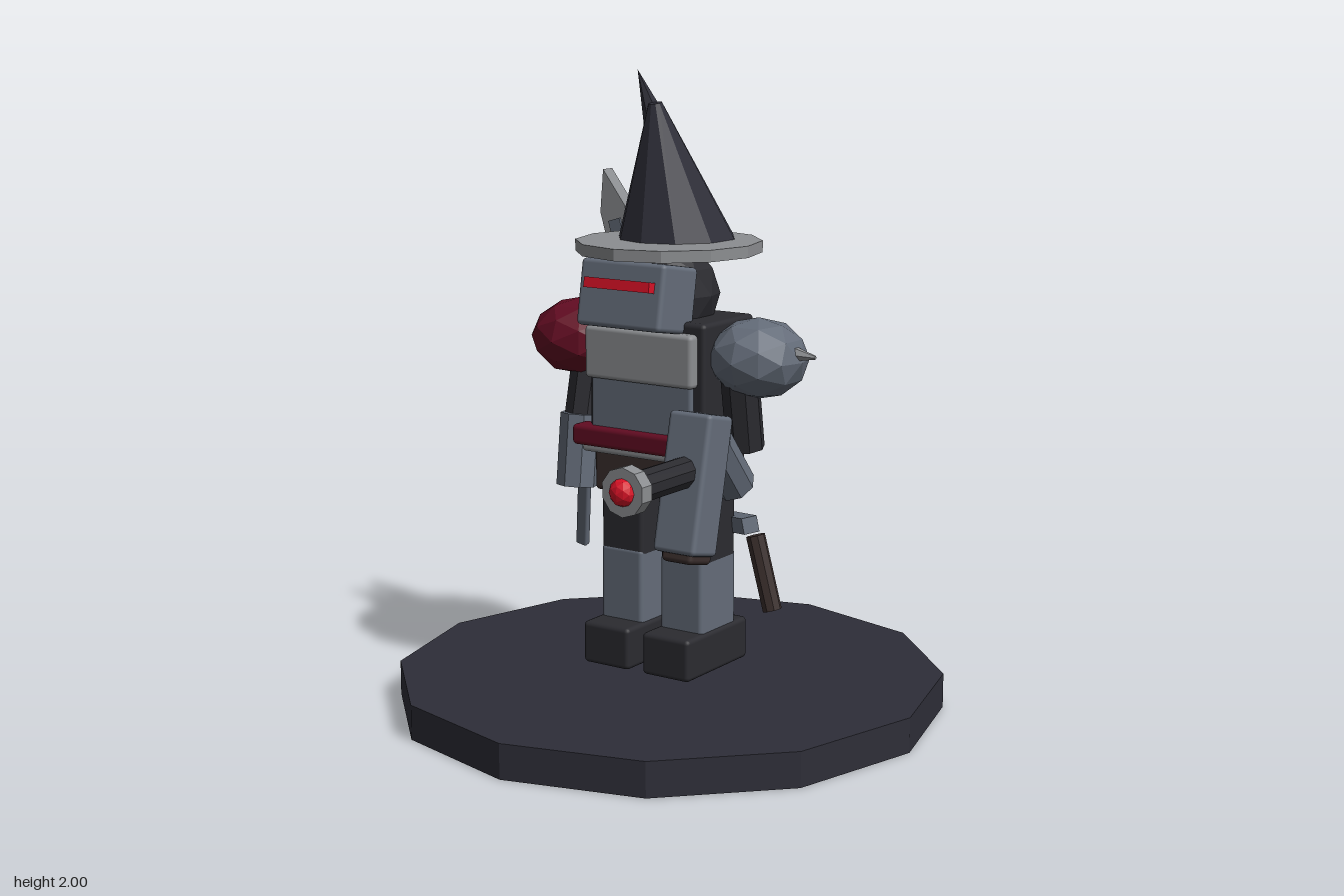
import * as THREE from 'three';
import { RoundedBoxGeometry } from 'three/addons/geometries/RoundedBoxGeometry.js';

const material = (name, color) => {
  const m = new THREE.MeshStandardMaterial({ color });
  m.name = name;
  return m;
};

// Gives every face its own flat normal
const facet = (geometry) => {
  const g = geometry.index ? geometry.toNonIndexed() : geometry;
  g.computeVertexNormals();
  return g;
};

export function createModel() {
  const model = new THREE.Group();
  model.name = 'armouredFigure';

  const slate = material('slate', 0x2e2e38);
  const black = material('blackCloth', 0x2b2b30);
  const steel = material('steel', 0x646c79);
  const silver = material('silver', 0x8c8e91);
  const crimson = material('crimson', 0x620c22);
  const glow = material('glowRed', 0xd81226);
  const brown = material('leather', 0x3a2e2c);

  const add = (name, geometry, mat, pos = [0, 0, 0], rot = [0, 0, 0]) => {
    const mesh = new THREE.Mesh(geometry, mat);
    mesh.name = name;
    mesh.position.set(...pos);
    mesh.rotation.set(...rot);
    model.add(mesh);
    return mesh;
  };
  const box = (name, mat, size, pos, rot) =>
    add(name, new RoundedBoxGeometry(...size, 2, Math.min(0.015, Math.min(...size) * 0.25)), mat, pos, rot);
  const ball = (name, mat, radii, pos) =>
    add(name, facet(new THREE.IcosahedronGeometry(1, 1).scale(...radii)), mat, pos);
  // Tapered cylinder between two points
  const rod = (name, mat, from, to, r0, r1 = r0, sides = 8) => {
    const a = new THREE.Vector3(...from), b = new THREE.Vector3(...to);
    const dir = b.clone().sub(a);
    const geo = facet(new THREE.CylinderGeometry(r1, r0, dir.length(), sides));
    const mesh = add(name, geo, mat, a.clone().add(b).multiplyScalar(0.5).toArray());
    mesh.quaternion.setFromUnitVectors(new THREE.Vector3(0, 1, 0), dir.normalize());
    return mesh;
  };

  // Display base
  rod('base', slate, [0, 0, 0], [0, 0.11, 0], 0.87, 0.87, 12);

  // Legs
  for (const [side, x] of [['right', -0.118], ['left', 0.108]]) {
    box(side + 'Boot', black, [0.175, 0.135, 0.34], [x, 0.2075, 0.015]);
    box(side + 'Shin', steel, [0.158, 0.26, 0.195], [x, 0.38, 0]);
    box(side + 'Thigh', black, [0.158, 0.24, 0.19], [x, 0.6, 0]);
  }

  // Torso
  box('hips', brown, [0.4, 0.15, 0.26], [-0.005, 0.765, -0.01]);
  box('belt', silver, [0.46, 0.09, 0.29], [-0.005, 0.86, 0.005]);
  box('sash', crimson, [0.49, 0.065, 0.08], [-0.005, 0.873, 0.14]);
  box('torso', black, [0.43, 0.38, 0.28], [0.008, 1.065, 0]);
  box('abdomenPlate', steel, [0.375, 0.19, 0.05], [-0.003, 0.98, 0.13]);
  box('chestPlate', silver, [0.4, 0.165, 0.06], [-0.002, 1.14, 0.145]);

  // Head, face plate and eye slit
  ball('head', black, [0.16, 0.16, 0.16], [-0.003, 1.32, 0]);
  box('faceMask', steel, [0.31, 0.205, 0.185], [-0.007, 1.327, 0.165], [-0.17, 0, 0]);
  add('eyeSlit', new THREE.BoxGeometry(0.24, 0.032, 0.03), glow, [-0.002, 1.373, 0.266], [-0.17, 0, 0]);

  // Pointed hat
  rod('hatBrim', silver, [-0.003, 1.447, 0], [-0.003, 1.483, 0], 0.29, 0.29, 12);
  rod('hatCone', slate, [-0.02, 1.457, -0.06], [-0.05, 1.9, 0.005], 0.195, 0.022, 10);
  rod('hatTip', slate, [-0.06, 1.79, -0.042], [-0.115, 2, 0.005], 0.05, 0, 6);

  // Shoulder armour
  ball('rightShoulder', crimson, [0.165, 0.125, 0.17], [-0.34, 1.152, -0.01]);
  ball('leftShoulder', steel, [0.155, 0.125, 0.155], [0.327, 1.145, 0]);
  rod('shoulderSpike', silver, [0.45, 1.17, 0], [0.527, 1.165, 0], 0.025, 0.006, 6);

  // Right arm with a hanging dagger blade
  rod('rightUpperArm', black, [-0.3, 1.1, 0], [-0.3, 0.88, 0.05], 0.062);
  rod('rightForearm', steel, [-0.3, 0.915, 0.06], [-0.3, 0.685, 0.085], 0.066);
  box('wristBlade', steel, [0.04, 0.25, 0.025], [-0.318, 0.585, 0.025], [0.25, 0, -0.22]);

  // Left arm
  rod('leftUpperArm', black, [0.29, 1.08, 0.045], [0.29, 0.865, 0.012], 0.06);
  rod('leftForearm', steel, [0.29, 0.76, 0.07], [0.29, 0.915, 0.2], 0.064);

  // Arm cannon: housing, leather backing, barrel, muzzle and lens
  box('cannonHousing', steel, [0.15, 0.42, 0.13], [0.29, 0.808, 0.3], [-0.22, 0, 0]);
  box('cannonGrip', brown, [0.11, 0.28, 0.115], [0.29, 0.71, 0.308], [-0.22, 0, 0]);
  rod('cannonBarrel', black, [0.29, 0.85, 0.3], [0.29, 0.85, 0.63], 0.048, 0.048, 10);
  rod('cannonMuzzle', silver, [0.29, 0.85, 0.612], [0.29, 0.85, 0.66], 0.073, 0.073, 10);
  ball('cannonLens', glow, [0.042, 0.042, 0.035], [0.29, 0.85, 0.657]);

  // Sword slung across the back, origin at the blade tip
  const blade = new THREE.Shape([
    [0, 0], [-0.05, -0.13], [-0.05, -1.28], [0.05, -1.28], [0.05, -0.13],
  ].map(([x, y]) => new THREE.Vector2(x, y)));
  const bladeGeo = new THREE.ExtrudeGeometry(blade, { depth: 0.05, bevelEnabled: false });
  const sword = new THREE.Group();
  sword.name = 'backSword';
  sword.position.set(-0.365, 1.67, -0.205);
  sword.rotation.z = 0.285;
  const bladeMesh = new THREE.Mesh(bladeGeo, silver);
  bladeMesh.name = 'swordBlade';
  const fuller = new THREE.Mesh(new THREE.BoxGeometry(0.045, 0.95, 0.01), steel);
  fuller.name = 'swordFuller';
  fuller.position.set(0, -0.64, 0.053);
  sword.add(bladeMesh, fuller);
  model.add(sword);

  // Loose crossguard and grip
  rod('crossguard', steel, [0.28, 0.61, -0.035], [-0.05, 0.54, -0.285], 0.036, 0.036, 4);
  rod('swordGrip', brown, [0.215, 0.54, -0.168], [0.28, 0.305, -0.168], 0.031);

  return model;
}
